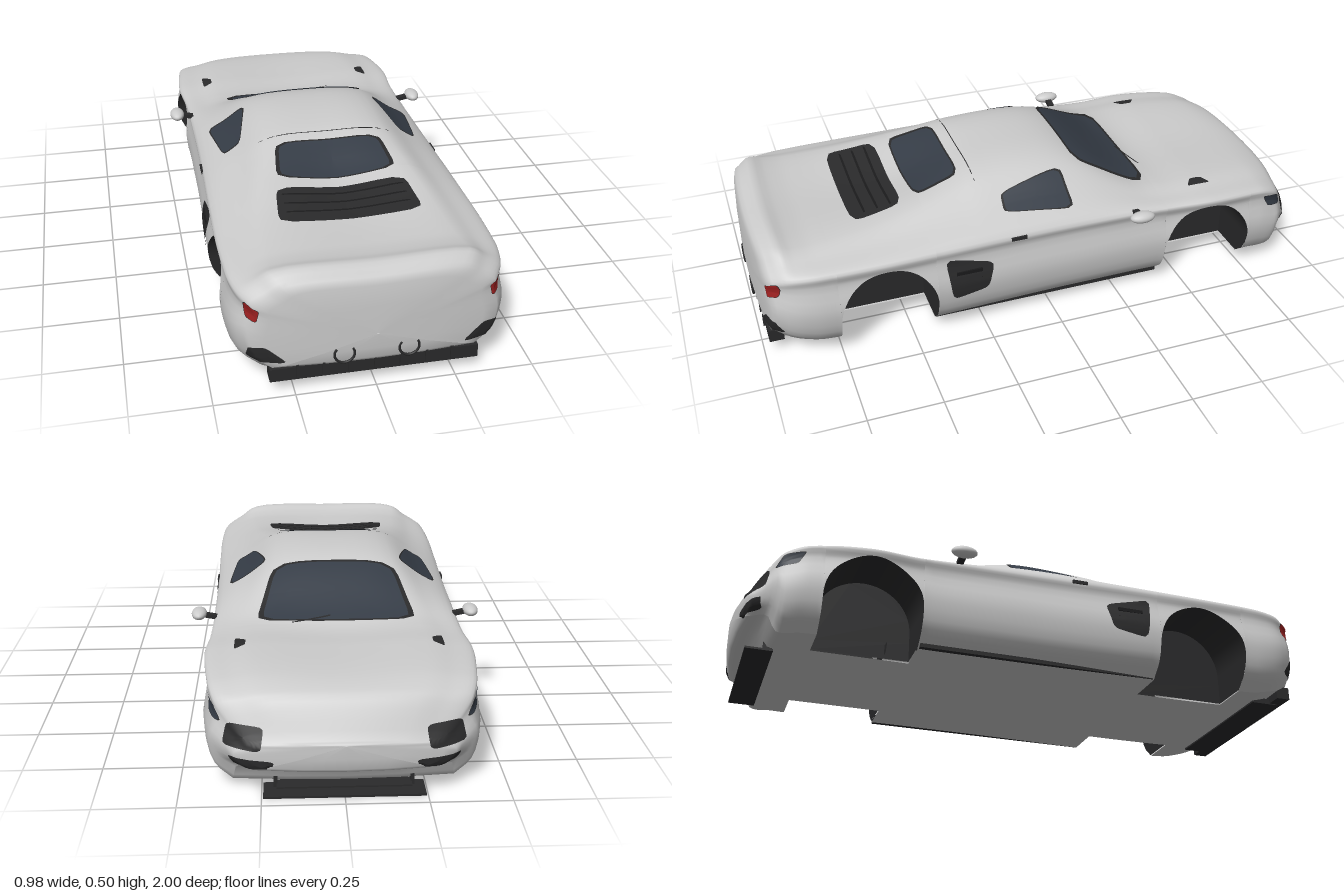
import * as THREE from 'three';

const GREY = 0xcccccc, DARK = 0x2a2a2b, BLACK = 0x1b1b1c, GLASS = 0x353c46, RED = 0x9c2020;
const mat = (color) => new THREE.MeshStandardMaterial({ color, side: THREE.DoubleSide });
const ARCH_Z = 0.585, ARCH_Y = 0.14, ARCH_R = 0.165, WELL_X = 0.225;

// body stations: z, centre height, roof edge x y, shoulder crease x y, half width, bottom height
const STATIONS = [
  [-0.985, 0.20, 0.17, 0.195, 0.29, 0.18, 0.33, 0.10],
  [-0.93, 0.295, 0.22, 0.29, 0.36, 0.258, 0.395, 0.085],
  [-0.90, 0.32, 0.24, 0.315, 0.385, 0.285, 0.41, 0.03],
  [-0.80, 0.338, 0.26, 0.34, 0.408, 0.312, 0.424, 0.03],
  [-0.60, 0.343, 0.28, 0.352, 0.428, 0.327, 0.436, 0.03],
  [-0.45, 0.343, 0.28, 0.35, 0.418, 0.327, 0.425, 0.03],
  [-0.35, 0.375, 0.26, 0.365, 0.415, 0.33, 0.422, 0.03],
  [-0.15, 0.478, 0.21, 0.46, 0.415, 0.335, 0.424, 0.03],
  [0, 0.503, 0.20, 0.485, 0.416, 0.337, 0.426, 0.03],
  [0.2, 0.492, 0.20, 0.48, 0.42, 0.338, 0.432, 0.03],
  [0.3, 0.458, 0.215, 0.458, 0.423, 0.338, 0.436, 0.03],
  [0.42, 0.41, 0.24, 0.43, 0.426, 0.337, 0.44, 0.03],
  [0.6, 0.385, 0.27, 0.397, 0.43, 0.335, 0.441, 0.03],
  [0.8, 0.383, 0.29, 0.382, 0.425, 0.333, 0.438, 0.035],
  [0.88, 0.392, 0.30, 0.387, 0.415, 0.33, 0.43, 0.05],
  [0.93, 0.405, 0.30, 0.398, 0.402, 0.325, 0.416, 0.065],
  [0.97, 0.388, 0.28, 0.38, 0.38, 0.315, 0.395, 0.085],
];

// smooth interpolation of the stations along z
function station(z) {
  const S = STATIONS, n = S.length;
  let i = 0;
  while (i < n - 2 && z > S[i + 1][0]) i++;
  const slope = (k, c) => {
    const a = S[Math.max(k - 1, 0)], b = S[Math.min(k + 1, n - 1)];
    return (b[c] - a[c]) / (b[0] - a[0]);
  };
  const h = S[i + 1][0] - S[i][0], t = (z - S[i][0]) / h, u = 1 - t;
  return S[i].map((v, c) => u * u * (1 + 2 * t) * v + t * t * (3 - 2 * t) * S[i + 1][c]
    + h * t * u * (u * slope(i, c) - t * slope(i + 1, c)));
}

// half section from roof centre down to the given lower edge
const UPPER = 18, LOWER = 12, HALF = UPPER + LOWER;
function section(z, lower) {
  const [, T, x1, y1, x2, y2, W, B] = station(z);
  const wy = (y2 + B) / 2 + 0.012;
  const half = [[x1, y1], [(x1 + x2) / 2, (y1 + y2) / 2 + 0.002], [x2, y2], [(x2 + W) / 2 - 0.012, y2 * 0.7 + wy * 0.3],
    [W, wy], [W * 0.95, B + (wy - B) * 0.35], [W * 0.82, B]];
  const pts = [...half.map(([x, y]) => [-x, y]).reverse(), [0, T], ...half];
  const curve = new THREE.CatmullRomCurve3(pts.map(([x, y]) => new THREE.Vector3(x, y, 0)));
  const solve = (y) => {
    let a = 0.6, b = 1;
    for (let k = 0; k < 25; k++) {
      const m = (a + b) / 2;
      if (curve.getPoint(m).y > y) a = m; else b = m;
    }
    return b;
  };
  const mid = solve(Math.min(ARCH_Y + ARCH_R + 0.002, y2 - 0.01));
  const end = lower === undefined ? 1 : solve(lower);
  return Array.from({ length: HALF }, (_, k) => {
    const t = k < UPPER ? 0.5 + (mid - 0.5) * k / UPPER : mid + (end - mid) * (k - UPPER) / (LOWER - 1);
    const p = curve.getPoint(t);
    return [Math.max(p.x, 0), p.y];
  });
}

function strip(rows, breaks = new Set()) {
  const n = rows[0].length, index = [];
  for (let i = 0; i < rows.length - 1; i++) {
    if (breaks.has(i)) continue;
    for (let j = 0; j < n - 1; j++) {
      const a = i * n + j, b = a + 1, c = a + n, d = c + 1;
      index.push(a, c, b, b, c, d);
    }
  }
  const g = new THREE.BufferGeometry();
  g.setAttribute('position', new THREE.Float32BufferAttribute(rows.flat(2), 3));
  g.setIndex(index);
  g.computeVertexNormals();
  return g;
}

function buildShell() {
  const rows = [], floor = [], breaks = new Set();
  const add = (z, half, floorX) => {
    const w = THREE.MathUtils.clamp((Math.abs(z) - 0.8) / 0.17, 0, 1);
    const bend = (x) => z + w * (z < 0 ? 0.3 : -0.15) * x * x; // rounded plan of nose and tail
    const full = [...half.slice(1).map(([x, y]) => [-x, y]).reverse(), ...half];
    rows.push(full.map(([x, y]) => [x, y, bend(x)]));
    const [ex, ey] = half[HALF - 1];
    const fx = floorX ?? ex, fy = floorX ? station(z)[7] : ey;
    floor.push([1, 0.5, 0, -0.5, -1].map((s) => [s * fx, fy, bend(s * fx)]));
  };
  const cap = (z, s, end) => add(z, section(end).map(([x, y]) => [x * s, 0.19 + (y - 0.19) * s]));
  const run = (a, b, n) => { for (let i = 0; i <= n; i++) add(a + (b - a) * i / n, section(a + (b - a) * i / n)); };
  const arch = (cz) => {
    breaks.add(rows.length - 1);
    for (let i = 0; i <= 32; i++) {
      const t = Math.PI * i / 32, z = cz - ARCH_R * Math.cos(t);
      add(z, section(z, ARCH_Y + ARCH_R * Math.sin(t)), WELL_X);
    }
    breaks.add(rows.length - 1);
  };
  cap(-1, 0.01, -0.985); cap(-0.998, 0.5, -0.985); cap(-0.993, 0.88, -0.985);
  run(-0.985, -ARCH_Z - ARCH_R, 16);
  arch(-ARCH_Z);
  run(-ARCH_Z + ARCH_R, ARCH_Z - ARCH_R, 30);
  arch(ARCH_Z);
  run(ARCH_Z + ARCH_R, 0.97, 14);
  cap(0.984, 0.97, 0.97); cap(0.993, 0.85, 0.97); cap(0.998, 0.5, 0.97); cap(1, 0.01, 0.97);
  return { shell: strip(rows, breaks), floor: strip(floor) };
}

// wheel arch outline as [z offset, y]: up one leg, over the arc, down the other
const LEG = [0.036, 0.07, 0.105];
const ARCH = [...LEG.map((y) => [-ARCH_R, y]),
  ...Array.from({ length: 33 }, (_, i) => [-ARCH_R * Math.cos(Math.PI * i / 32), ARCH_Y + ARCH_R * Math.sin(Math.PI * i / 32)]),
  ...LEG.map((y) => [ARCH_R, y]).reverse()];

export function createModel() {
  const car = new THREE.Group();
  const put = (name, geo, color, x = 0, y = 0, z = 0) => {
    const m = new THREE.Mesh(geo, mat(color));
    m.name = name;
    m.position.set(x, y, z);
    car.add(m);
    return m;
  };
  const both = (m) => { // mirrored copy on the other side
    const c = m.clone();
    c.scale.x *= -1;
    c.position.x *= -1;
    c.rotation.z *= -1;
    car.add(c);
  };

  const { shell, floor } = buildShell();
  const body = put('body', shell, GREY);
  put('floorPan', floor, GREY);

  // rounded four-cornered panels projected onto the body
  const views = {
    top: ([u, v]) => [[u, 2, v], [0, -1, 0]],
    side: ([u, v]) => [[2, v, u], [-1, 0, 0]],
    rear: ([u, v]) => [[u, v, 2], [0, 0, -1]],
    front: ([u, v]) => [[u, v, -2], [0, 0, 1]],
  };
  const ray = new THREE.Raycaster();
  function panel(name, view, q, color, from = 0, to = 1, off = 0.004) {
    const rows = [], rings = from > 0 ? 1 : 6;
    let depth = 1.5;
    for (let i = 0; i <= rings; i++) {
      const s = from + (to - from) * i / rings, row = [];
      for (let j = 0; j <= 36; j++) {
        const a = Math.PI * 2 * j / 36, c = Math.cos(a), d = Math.sin(a);
        const k = s / Math.pow(c ** 8 + d ** 8, 1 / 8);
        const u = (1 + k * c) / 2, v = (1 + k * d) / 2;
        const p = [0, 1].map((e) => (1 - v) * ((1 - u) * q[0][e] + u * q[1][e]) + v * ((1 - u) * q[3][e] + u * q[2][e]));
        const [o, dir] = views[view](p).map((w) => new THREE.Vector3(...w));
        ray.set(o, dir);
        const hit = ray.intersectObject(body)[0];
        if (hit) depth = hit.distance;
        row.push(o.addScaledVector(dir, depth - off).toArray());
      }
      rows.push(row);
    }
    return put(name, strip(rows), color);
  }
  const framed = (name, view, q, color) => [panel(name, view, q, color), panel(name + 'Frame', view, q, DARK, 1, 1.07)];
  const wide = (a, za, b, zb) => [[-a, za], [a, za], [b, zb], [-b, zb]];

  // glass
  framed('windshield', 'top', wide(0.255, -0.40, 0.20, -0.15), GLASS);
  framed('rearWindow', 'top', wide(0.17, 0.27, 0.19, 0.425), GLASS);
  framed('sideWindow', 'top', [[0.24, -0.075], [0.368, -0.08], [0.345, 0.15], [0.285, 0.145]], GLASS).forEach(both);
  panel('roofSeam', 'top', wide(0.23, 0.224, 0.23, 0.227), DARK, 0, 1, 0.001);

  // engine cover vent with cross slats
  panel('engineVent', 'top', wide(0.215, 0.475, 0.235, 0.655), DARK);
  for (let i = 0; i < 3; i++) {
    const z = 0.51 + i * 0.045;
    panel('engineVentSlat', 'top', wide(0.20, z, 0.205, z + 0.008), BLACK, 0, 1, 0.007);
  }

  // lamps and intakes
  const paired = [
    ['bonnetScoop', 'top', [[0.30, -0.60], [0.335, -0.625], [0.335, -0.535], [0.30, -0.56]], DARK],
    ['sideIntake', 'side', [[0.39, 0.305], [0.22, 0.262], [0.245, 0.17], [0.37, 0.148]], DARK],
    ['frontLamp', 'front', [[0.24, 0.23], [0.35, 0.237], [0.365, 0.17], [0.25, 0.165]], DARK],
    ['lowerIntake', 'front', [[0.21, 0.135], [0.35, 0.14], [0.33, 0.105], [0.22, 0.105]], DARK],
    ['rearCornerVent', 'rear', [[0.335, 0.172], [0.385, 0.17], [0.39, 0.117], [0.27, 0.112]], DARK],
  ];
  for (const [name, view, q, color] of paired) both(panel(name, view, q, color));
  framed('headlight', 'side', [[-0.81, 0.29], [-0.875, 0.277], [-0.90, 0.232], [-0.835, 0.245]], GLASS).forEach(both);
  framed('tailLight', 'rear', [[0.352, 0.298], [0.392, 0.316], [0.388, 0.267], [0.36, 0.262]], RED).forEach(both);
  panel('frontGrille', 'front', wide(0.27, 0.085, 0.25, 0.045), DARK);

  // side intake louvres and door handles
  const box = (w, h, d) => new THREE.BoxGeometry(w, h, d);
  for (let i = 0; i < 3; i++) both(put('intakeLouvre', box(0.012, 0.012, 0.09), BLACK, 0.43, 0.18 + i * 0.033, 0.31));
  both(put('doorHandle', box(0.016, 0.012, 0.055), DARK, 0.416, 0.332, 0.13));

  // wheel arch liners reaching out to the body edge, closed by an inner wall
  const wall = new THREE.ShapeGeometry(new THREE.Shape(ARCH.map(([z, y]) => new THREE.Vector2(-z, y)))).rotateY(Math.PI / 2);
  for (const cz of [-ARCH_Z, ARCH_Z]) {
    const rows = ARCH.map(([dz, y]) => {
      const x = section(cz + dz, y)[HALF - 1][0];
      return [[x, y, cz + dz], [WELL_X, y, cz + dz]];
    });
    both(put('wheelArchLiner', strip(rows), DARK));
    both(put('wheelArchInnerWall', wall, DARK, WELL_X, 0, cz));
  }

  // sills, splitter and rear diffuser
  both(put('sill', box(0.06, 0.014, 0.83), DARK, 0.335, 0.038, 0));
  put('splitter', box(0.49, 0.007, 0.09), DARK, 0, 0.004, -0.915);
  put('splitterUpper', box(0.41, 0.005, 0.05), DARK, 0, 0.017, -0.9);
  both(put('splitterStay', box(0.012, 0.04, 0.03), DARK, 0.208, 0.024, -0.885));
  put('diffuserBar', box(0.65, 0.045, 0.05), DARK, 0, 0.066, 0.955);
  put('diffuserTray', box(0.54, 0.02, 0.10), DARK, 0, 0.05, 0.91);
  for (let i = -3; i <= 3; i++) put('diffuserFin', box(0.008, 0.045, 0.04), DARK, i * 0.08, 0.075, 0.967);
  const exhaust = new THREE.TorusGeometry(0.031, 0.004, 8, 28, Math.PI * 1.45);
  exhaust.rotateZ(Math.PI * 0.775);
  both(put('exhaustRing', exhaust, DARK, 0.1, 0.128, 0.996));

  // door mirrors and wiper
  const mirror = put('mirror', new THREE.SphereGeometry(1, 20, 14), GREY, 0.465, 0.35, -0.30);
  mirror.scale.set(0.026, 0.019, 0.045);
  both(mirror);
  const stalk = put('mirrorStalk', box(0.05, 0.014, 0.022), DARK, 0.43, 0.342, -0.30);
  stalk.rotation.z = 0.2;
  both(stalk);
  panel('wiper', 'top', [[0.02, -0.392], [0.15, -0.43], [0.15, -0.424], [0.02, -0.384]], DARK, 0, 1, 0.01);

  return car;
}
